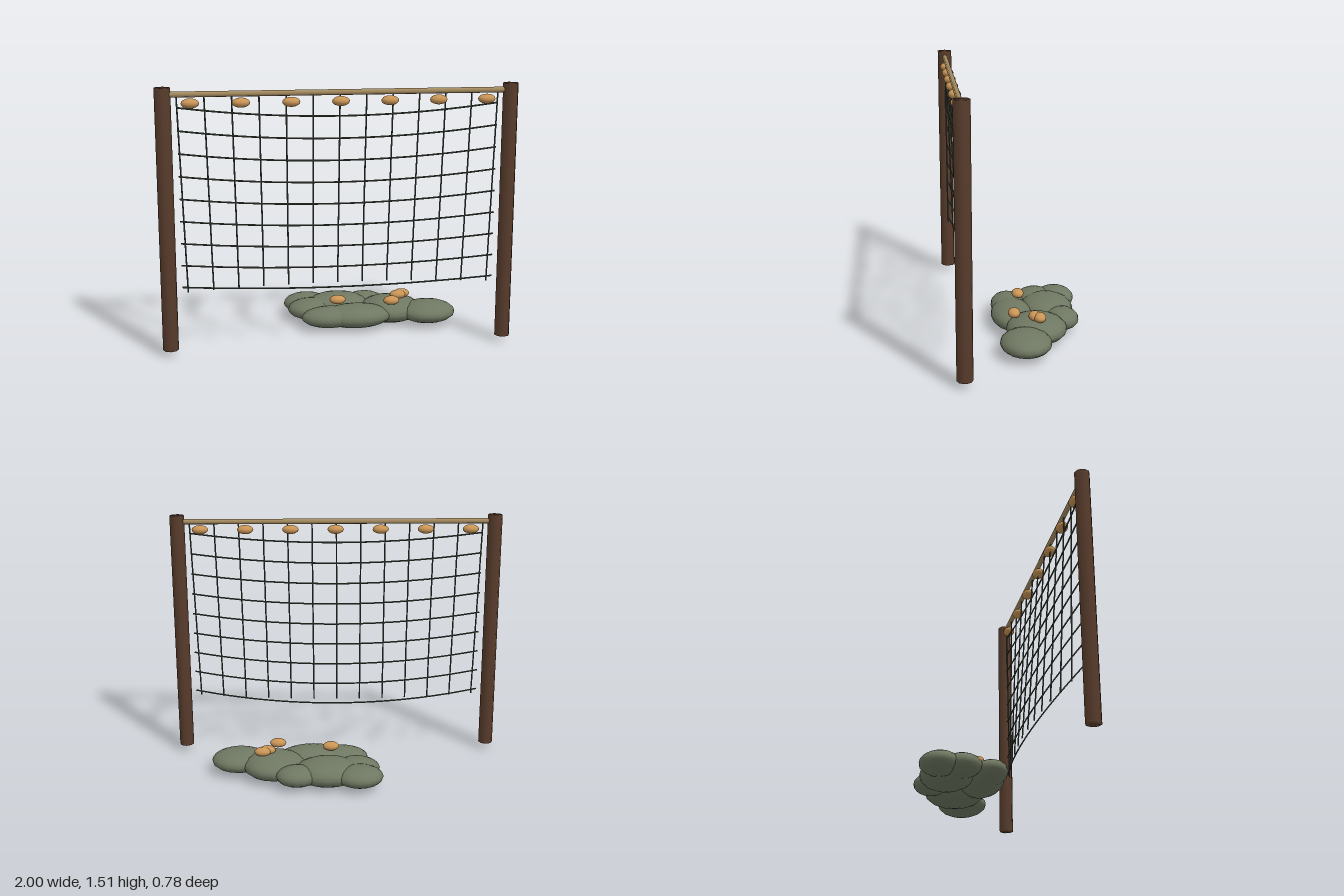
import * as THREE from 'three';

const material = (name, color) => {
  const m = new THREE.MeshStandardMaterial({ color });
  m.name = name;
  return m;
};

export function createModel() {
  const darkWood = material('dark wood', 0x583c2c);
  const paleWood = material('pale wood', 0xa58b60);
  const cork = material('cork', 0xca9556);
  const twine = material('dark twine', 0x465044);
  const netting = material('heaped netting', 0x6f7862);

  const root = new THREE.Group();
  root.name = 'netRack';
  const Z = 0.346; // plane of the frame

  const add = (name, geometry, mat, parent = root) => {
    const mesh = new THREE.Mesh(geometry, mat);
    mesh.name = name;
    parent.add(mesh);
    return mesh;
  };
  const group = (name) => {
    const g = new THREE.Group();
    g.name = name;
    root.add(g);
    return g;
  };

  // Upright posts, turned in one piece so the shading runs softly over the ends
  const postProfile = [[0, 0], [0.044, 0], [0.044, 1.47], [0, 1.47]]
    .map(([r, y]) => new THREE.Vector2(r, y));
  for (const side of [-1, 1]) {
    const post = add(side > 0 ? 'leftPost' : 'rightPost',
      new THREE.LatheGeometry(postProfile, 8), darkWood);
    post.position.set(side * 0.956, 0.039, Z);
  }

  // Rail between the posts
  const rail = add('topRail', new THREE.CylinderGeometry(0.016, 0.016, 1.87, 8), paleWood);
  rail.rotation.z = Math.PI / 2;
  rail.position.set(0, 1.471, Z);

  // Hanging net: it billows backwards towards its lower middle
  const net = group('hangingNet');
  const billow = (u, t) => Z - 0.088 * t * (1 - u * u);
  const strand = (name, points, segments, radius) => {
    const curve = new THREE.CatmullRomCurve3(points);
    add(name, new THREE.TubeGeometry(curve, segments, radius, 4), twine, net);
  };
  for (let row = 0; row < 9; row++) {
    const points = [];
    for (let i = 0; i <= 12; i++) {
      const u = i / 6 - 1;
      points.push(new THREE.Vector3(u * 0.883,
        1.4 - row * 0.125 - 0.059 * (1 - u * u), billow(u, row / 8)));
    }
    strand('crossStrand', points, 24, 0.0048);
  }
  for (let col = -6; col <= 6; col++) {
    const u = col / 6;
    const points = [0, 0.5, 1].map((t) => new THREE.Vector3(
      u * (0.883 - 0.033 * t), 1.46 - 1.09 * t, billow(u, t)));
    strand('hangingStrand', points, 6, 0.0044);
  }

  const ellipsoid = (name, mat, parent, [x, y, z], [rx, ry, rz]) => {
    const mesh = add(name, new THREE.SphereGeometry(1, 16, 10), mat, parent);
    mesh.position.set(x, y, z);
    mesh.scale.set(rx, ry, rz);
  };

  // Cork floats under the rail
  const floats = group('railFloats');
  const corkSize = [0.049, 0.027, 0.036];
  for (let i = -3; i <= 3; i++) {
    ellipsoid('float', cork, floats, [0.005 + i * 0.272, 1.422, Z], corkSize);
  }

  // Heap of folded net on the ground: x, z, width, depth and height radii
  const heap = group('netHeap');
  const folds = [
    [-0.125, -0.275, 0.14, 0.115, 0.062],
    [0.24, -0.265, 0.125, 0.1, 0.06],
    [-0.11, -0.15, 0.14, 0.115, 0.062],
    [0.06, -0.2, 0.2, 0.157, 0.08],
    [-0.015, 0.025, 0.17, 0.105, 0.062],
    [0.147, 0.018, 0.213, 0.125, 0.07],
    [0.377, -0.1, 0.19, 0.175, 0.078],
    [0.59, -0.015, 0.17, 0.145, 0.066],
  ];
  for (const [x, z, rx, rz, ry] of folds) {
    ellipsoid('netFold', netting, heap, [x, 0.082, z], [rx, ry, rz]);
  }

  // Loose floats resting on the heap
  for (const [x, z] of [[0.04, -0.028], [0.36, 0.027], [0.42, -0.085], [0.448, -0.11]]) {
    ellipsoid('looseFloat', cork, heap, [x, 0.171, z], corkSize);
  }

  return root;
}
